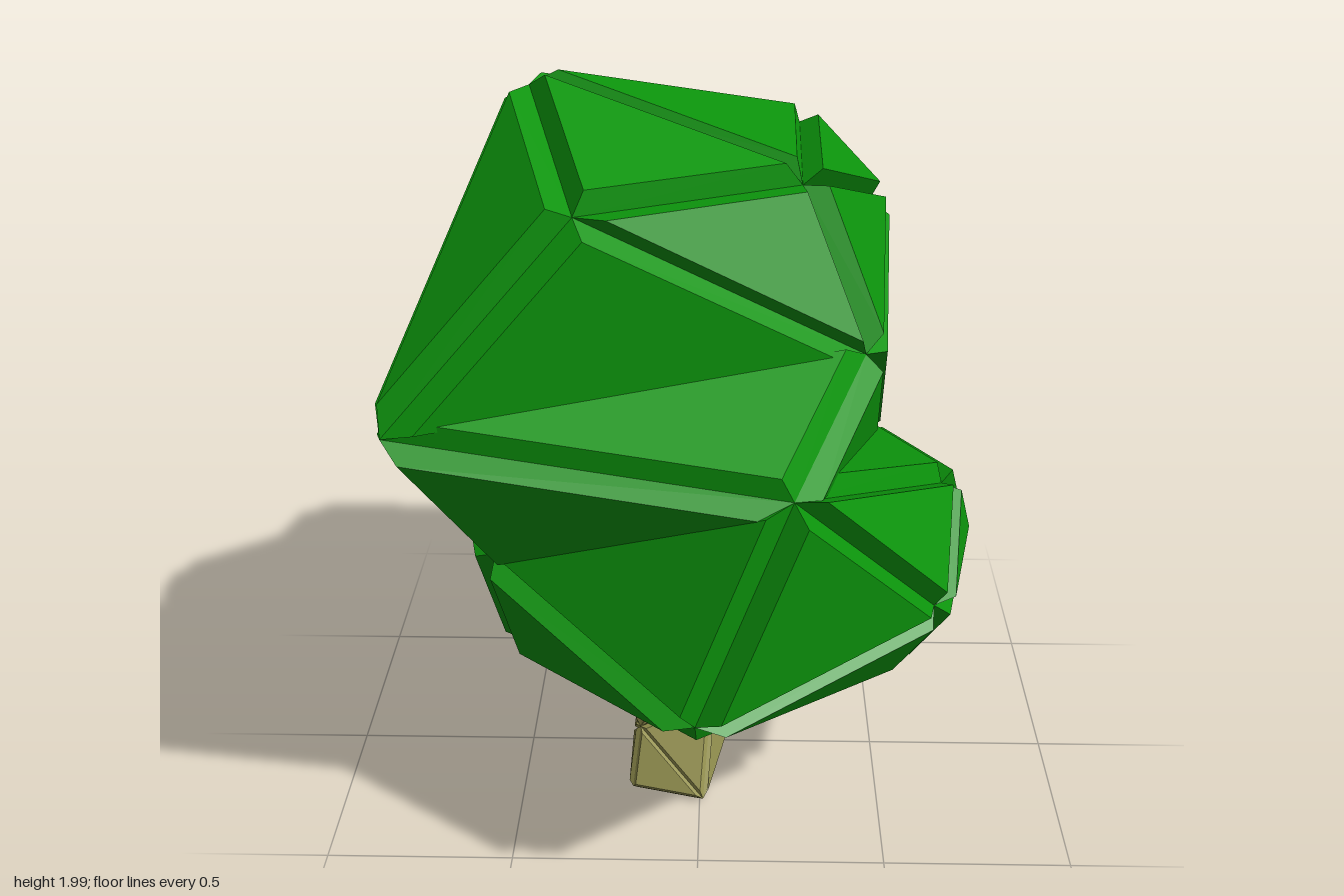
import * as THREE from 'three';

// Raises a smaller copy of every triangle, so that all edges become grooves
function groovedGeometry(triangles, inset, raise) {
  const position = [];
  const put = (...list) => list.forEach((p) => position.push(p.x, p.y, p.z));
  for (const t of triangles) {
    const face = new THREE.Triangle(...t);
    const middle = face.getMidpoint(new THREE.Vector3());
    const normal = face.getNormal(new THREE.Vector3());
    const raised = t.map((p) => p.clone().lerp(middle, inset).addScaledVector(normal, raise));
    put(...raised);
    for (let k = 0; k < 3; k++) {
      const n = (k + 1) % 3;
      put(t[k], t[n], raised[n], t[k], raised[n], raised[k]);
    }
  }
  const geometry = new THREE.BufferGeometry();
  geometry.setAttribute('position', new THREE.Float32BufferAttribute(position, 3));
  geometry.computeVertexNormals();
  return geometry;
}

function createCrown() {
  const corners = {
    // top
    A: [-0.41, 1.96, -0.03], B: [0.24, 1.78, 0.16], C: [0.25, 1.78, -0.34], E: [-0.27, 1.8, 0.44],
    // upper lobe
    D: [-0.38, 1.57, -0.41], F: [-0.71, 1.32, 0.57], G: [0.4, 1.39, 0.25], H: [0.45, 1.56, -0.38],
    // back lobe
    W: [0.21, 1.39, -0.69], X: [-0.46, 1.37, -0.71], Y: [-0.46, 1.11, -0.71], Z: [0.14, 0.91, -0.62],
    // lower lobe
    I: [0.22, 1.22, 0.66], J: [0, 0.65, 0.74], K: [0.59, 0.77, 0.4], L: [0.7, 0.7, -0.1],
    M: [0.46, 0.85, -0.36], N: [0.63, 0.95, 0.1], O: [-0.5, 0.91, 0.4], Q: [-0.68, 0.92, -0.35],
    // underside
    P: [-0.47, 0.48, 0.17], R: [0.5, 0.53, 0.27], S: [0.27, 0.55, -0.17], V: [-0.4, 0.62, -0.25],
  };
  // Fans of triangles: the hub, then the corners around it
  const fans = [
    'DACHXQOFA', 'GBEFIMHB', 'JIOPRKI', 'NIKLMI', 'AFEBC', 'MSVZW',
    'ZVQYW', 'WYXHM', 'LKRSM', 'POQVSR', 'BHC', 'FOI', 'QXY',
  ];
  const point = (name) => new THREE.Vector3(...corners[name]);
  const triangles = [];
  for (const [hub, ...rim] of fans) {
    for (let i = 0; i + 1 < rim.length; i++) {
      triangles.push([hub, rim[i], rim[i + 1]].map(point));
    }
  }
  return groovedGeometry(triangles, 0.13, 0.052);
}

function createTrunk() {
  // Four-cornered sections, each [y, tilt along x, then x and z of every corner]
  const sections = [
    [0.012, 0, 0.01, 0.27, 0.065, 0, -0.19, -0.035, -0.19, 0.22],
    [0.23, 0.4, 0.03, 0.11, 0.02, -0.035, -0.17, -0.03, -0.17, 0.14],
    [0.39, 0.1, 0.015, 0.07, 0.02, -0.075, -0.18, -0.07, -0.18, 0.09],
    [0.68, 0, 0.02, 0.05, 0.01, -0.11, -0.19, -0.11, -0.18, 0.06],
  ];
  const rings = sections.map(([y, tilt, ...xz]) =>
    [0, 2, 4, 6].map((k) => new THREE.Vector3(xz[k], y + tilt * xz[k], xz[k + 1])));
  const [base, top] = [rings[0], rings[rings.length - 1]];
  const triangles = [
    [base[0], base[2], base[1]], [base[0], base[3], base[2]],
    [top[0], top[1], top[2]], [top[0], top[2], top[3]],
  ];
  for (let s = 1; s < rings.length; s++) {
    for (let k = 0; k < 4; k++) {
      const n = (k + 1) % 4;
      const [a, b, c, d] = [rings[s - 1][k], rings[s - 1][n], rings[s][n], rings[s][k]];
      // Diagonals alternate from side to side
      if ((s + k) % 2) triangles.push([a, b, c], [a, c, d]);
      else triangles.push([a, b, d], [b, c, d]);
    }
  }
  return groovedGeometry(triangles, 0.14, 0.012);
}

export function createModel() {
  const tree = new THREE.Group();
  tree.name = 'tree';
  const add = (name, geometry, color) => {
    const mesh = new THREE.Mesh(geometry, new THREE.MeshStandardMaterial({ color, flatShading: true }));
    mesh.name = name;
    tree.add(mesh);
  };
  add('crown', createCrown(), 0x0c940c);
  add('trunk', createTrunk(), 0x949150);
  return tree;
}
